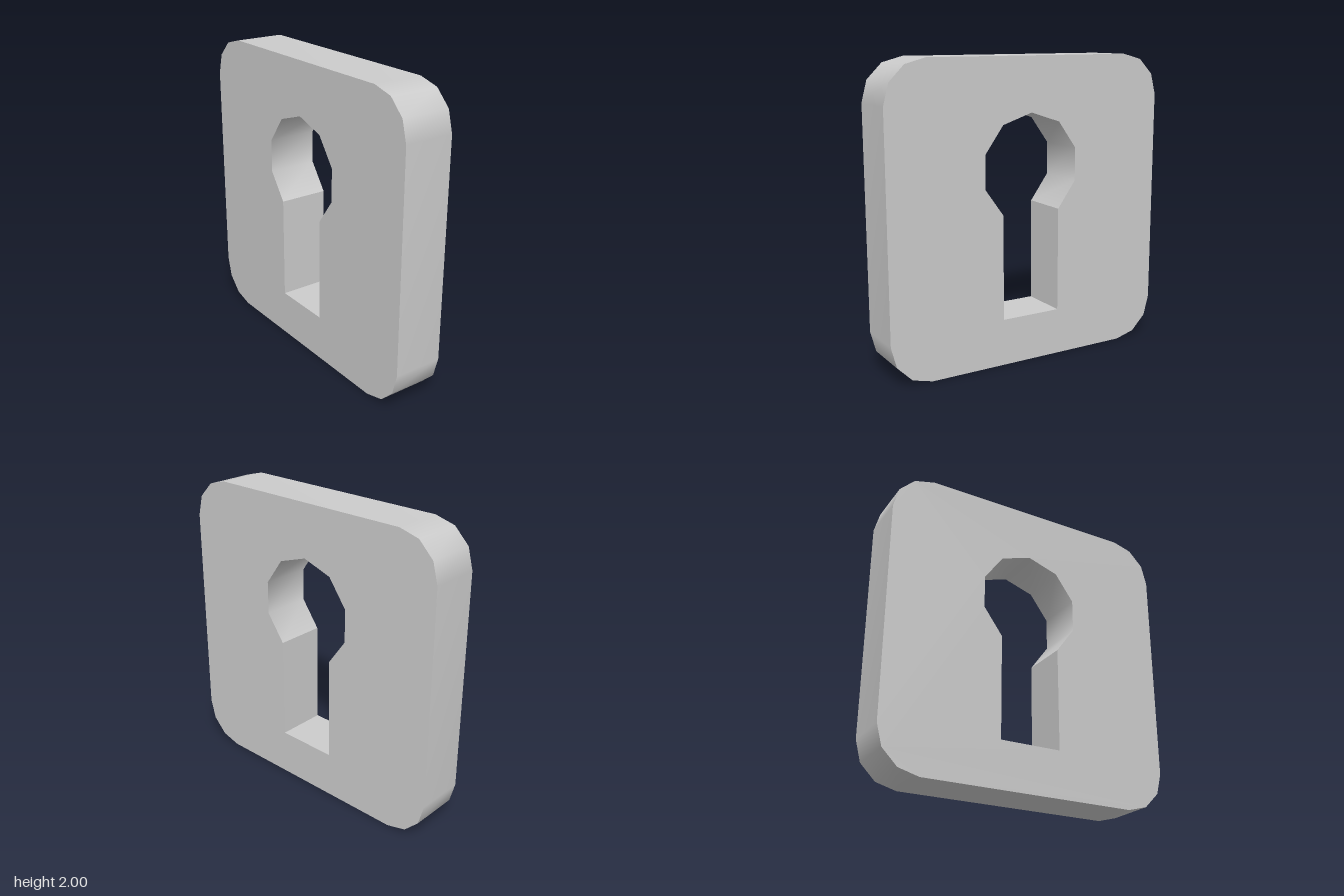
import * as THREE from 'three';

const HALF_DEPTH = 0.167;
const material = new THREE.MeshStandardMaterial({ color: 0xcccccc });

// Points on a circular arc, angles in degrees
function arc(cx, cy, r, from, to, steps) {
  return Array.from({ length: steps + 1 }, (_, i) => {
    const a = THREE.MathUtils.degToRad(from + ((to - from) * i) / steps);
    return new THREE.Vector2(cx + r * Math.cos(a), cy + r * Math.sin(a));
  });
}

// Smooth wall through the plate's depth, facing the right-hand side of the path
function wall(points, closed) {
  const n = points.length;
  const positions = points.flatMap((p) => [p.x, p.y, HALF_DEPTH, p.x, p.y, -HALF_DEPTH]);
  const index = [];
  for (let i = 0; i < (closed ? n : n - 1); i++) {
    const a = 2 * i, b = 2 * ((i + 1) % n);
    index.push(a, a + 1, b + 1, a, b + 1, b);
  }
  const geometry = new THREE.BufferGeometry();
  geometry.setAttribute('position', new THREE.Float32BufferAttribute(positions, 3));
  geometry.setIndex(index);
  geometry.computeVertexNormals();
  return geometry;
}

export function createModel() {
  const group = new THREE.Group();
  group.name = 'keyholePlate';
  const add = (name, geometry) => {
    const mesh = new THREE.Mesh(geometry, material);
    mesh.name = name;
    group.add(mesh);
    return mesh;
  };

  // Rounded square outline, counter-clockwise, three facets per corner
  const r = 0.275, c = 1 - r;
  const outline = [[c, 1 + c], [-c, 1 + c], [-c, r], [c, r]]
    .flatMap(([x, y], i) => arc(x, y, r, i * 90, i * 90 + 90, 3));

  // Keyhole: ten-sided round top on a straight slot, clockwise
  const round = arc(0, 1.29, 0.355, 234, -54, 8);
  const halfSlot = round[8].x, slotBottom = 0.31;
  const slot = [
    round[8],
    new THREE.Vector2(halfSlot, slotBottom),
    new THREE.Vector2(-halfSlot, slotBottom),
    round[0],
  ];

  // Front and back faces
  const shape = new THREE.Shape(outline);
  shape.holes.push(new THREE.Path([...round, slot[1], slot[2]]));
  const face = new THREE.ShapeGeometry(shape);
  add('frontFace', face).position.z = HALF_DEPTH;
  const back = add('backFace', face);
  back.position.z = -HALF_DEPTH;
  back.rotation.y = Math.PI;

  // Rim and keyhole walls
  add('outerRim', wall(outline, true));
  add('keyholeRound', wall(round, false));
  ['slotRightWall', 'slotFloor', 'slotLeftWall'].forEach((name, i) => {
    add(name.replace('Right', 'PlusX').replace('Left', 'MinusX'), wall([slot[i], slot[i + 1]], false));
  });

  return group;
}
